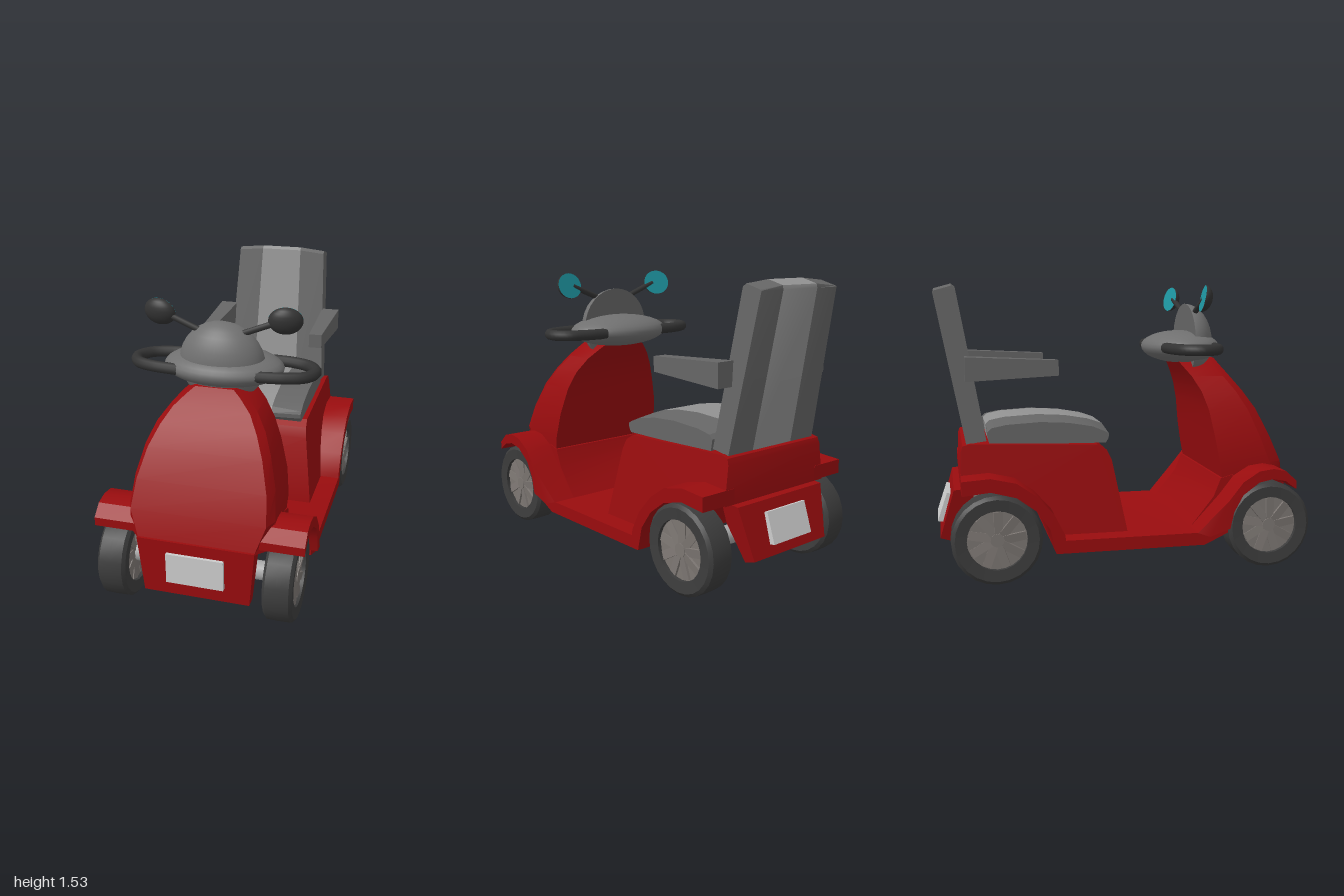
import * as THREE from 'three';
import { toCreasedNormals } from 'three/addons/utils/BufferGeometryUtils.js';

const mat = (color) => new THREE.MeshStandardMaterial({ color, side: THREE.DoubleSide });
const RED = mat(0x990c0e), RUBBER = mat(0x3c3c3c), HUB = mat(0x7c7672), STEEL = mat(0xa8a8a8), PLATE = mat(0xcccccc);
const SEAT = mat(0x666666), STRIPE = mat(0x929292), PLASTIC = mat(0x707070), BLACK = mat(0x333333), GLASS = mat(0x1f9aa6);

const lerp = THREE.MathUtils.lerp;

function add(parent, name, geometry, material) {
  const mesh = new THREE.Mesh(geometry, material);
  mesh.name = name;
  parent.add(mesh);
  return mesh;
}

// Moves every vertex by a rule
function warp(geometry, rule) {
  const p = geometry.attributes.position, v = new THREE.Vector3();
  for (let i = 0; i < p.count; i++) {
    rule(v.fromBufferAttribute(p, i));
    p.setXYZ(i, v.x, v.y, v.z);
  }
  geometry.computeVertexNormals();
  return geometry;
}

// Extrudes a [z, y] side profile across x, from x0 to x1
function slab(profile, x0, x1, rule) {
  const shape = new THREE.Shape(profile.map(([z, y]) => new THREE.Vector2(z, y)));
  const g = new THREE.ExtrudeGeometry(shape, { depth: x1 - x0, bevelEnabled: false });
  g.rotateY(-Math.PI / 2).translate(x1, 0, 0);
  if (rule) warp(g, rule);
  return toCreasedNormals(g, 0.45);
}

// Joins closed cross-section loops and caps both ends
function loft(loops) {
  const n = loops[0].length, pos = loops.flat(2), idx = [];
  for (let r = 0; r < loops.length - 1; r++) {
    for (let i = 0; i < n; i++) {
      const a = r * n + i, b = r * n + (i + 1) % n;
      idx.push(a, b, b + n, a, b + n, a + n);
    }
  }
  const last = (loops.length - 1) * n;
  for (let i = 1; i < n - 1; i++) idx.push(0, i + 1, i, last, last + i, last + i + 1);
  const g = new THREE.BufferGeometry();
  g.setAttribute('position', new THREE.Float32BufferAttribute(pos, 3));
  g.setIndex(idx);
  return toCreasedNormals(g, 0.4);
}

function wheel(x, z) {
  const group = new THREE.Group();
  group.name = 'wheel';
  const tyre = [[0.155, -0.07], [0.215, -0.075], [0.233, -0.06], [0.235, 0], [0.233, 0.06], [0.215, 0.075], [0.155, 0.07], [0.155, -0.07]];
  const g = new THREE.LatheGeometry(tyre.map(([r, y]) => new THREE.Vector2(r, y)), 24);
  add(group, 'tyre', toCreasedNormals(g.rotateZ(Math.PI / 2), 0.6), RUBBER);
  add(group, 'rim', new THREE.CylinderGeometry(0.156, 0.156, 0.1, 24).rotateZ(Math.PI / 2), HUB);
  // Slightly twisted blades radiate from the hub on both faces
  for (let i = 0; i < 9; i++) {
    const blade = new THREE.BoxGeometry(0.118, 0.125, 0.045).rotateY(0.12).translate(0, 0.085, 0);
    add(group, 'spoke', blade.rotateX(i * Math.PI * 2 / 9), HUB);
  }
  add(group, 'hubCap', new THREE.CylinderGeometry(0.035, 0.035, 0.128, 16).rotateZ(Math.PI / 2), HUB);
  group.position.set(x, 0.235, z);
  return group;
}

export function createModel() {
  const model = new THREE.Group();
  model.name = 'mobilityScooter';

  // Wheels and axles
  for (const z of [0.77, -0.7]) {
    for (const x of [-0.43, 0.43]) model.add(wheel(x, z));
    add(model, 'axle', new THREE.CylinderGeometry(0.05, 0.05, 0.76, 16).rotateZ(Math.PI / 2).translate(0, 0.235, z), STEEL);
  }

  // Floor with a ramp rising to the front shield
  add(model, 'floor', slab([[-0.4, 0.15], [0.4, 0.15], [0.53, 0.21], [0.53, 0.25], [0.4, 0.218], [-0.4, 0.218]], -0.51, 0.51), RED);
  add(model, 'footRamp', slab([[0.4, 0.17], [0.53, 0.24], [0.58, 0.4], [0.6, 0.5], [0.53, 0.48], [0.49, 0.38], [0.36, 0.218]], -0.38, 0.38), RED);

  // Mudguards, mirrored left and right
  const frontGuard = [[0.9, 0.44], [0.9, 0.485], [0.84, 0.54], [0.77, 0.555], [0.69, 0.545], [0.6, 0.49], [0.52, 0.39], [0.36, 0.218],
    [0.42, 0.2], [0.53, 0.24], [0.55, 0.33], [0.6, 0.42], [0.69, 0.485], [0.77, 0.5], [0.84, 0.485]];
  const rearGuard = [[-0.34, 0.15], [-0.355, 0.25], [-0.41, 0.36], [-0.5, 0.46], [-0.6, 0.53], [-0.73, 0.56], [-0.875, 0.55],
    [-0.875, 0.475], [-0.73, 0.49], [-0.6, 0.455], [-0.5, 0.38], [-0.43, 0.28], [-0.4, 0.15]];
  for (const s of [-1, 1]) {
    const side = (p, a, b, rule) => (s > 0 ? slab(p, a, b, rule) : slab(p, -b, -a, rule));
    add(model, 'frontMudguard', side(frontGuard, 0.3, 0.545, (v) => {
      if (Math.abs(v.x) > 0.5) v.x = s * lerp(0.51, 0.545, THREE.MathUtils.clamp((v.z - 0.35) / 0.09, 0, 1));
    }), RED);
    add(model, 'rearMudguard', side(rearGuard, 0.3, 0.51), RED);
  }

  // Seat housing, narrower towards the top
  const housing = [[0, 0.16], [0, 0.22], [-0.075, 0.6], [-0.1, 0.655], [-0.15, 0.687], [-0.82, 0.71], [-0.86, 0.7], [-0.87, 0.67],
    [-0.875, 0.47], [-0.73, 0.48], [-0.6, 0.45], [-0.5, 0.38], [-0.43, 0.28], [-0.4, 0.16]];
  add(model, 'seatHousing', slab(housing, -0.4, 0.4, (v) => { v.x *= lerp(1, 0.84, (v.y - 0.2) / 0.5); }), RED);

  // Rear bumper with plate
  add(model, 'rearBumper', slab([[-0.8, 0.475], [-0.91, 0.465], [-0.985, 0.2], [-0.92, 0.18], [-0.82, 0.36]], -0.31, 0.31,
    (v) => { v.x *= lerp(0.85, 1, (v.y - 0.18) / 0.28); }), RED);
  add(model, 'rearPlate', slab([[-0.925, 0.41], [-0.945, 0.415], [-0.997, 0.26], [-0.965, 0.255]], -0.14, 0.14), PLATE);

  // Front shield: [y, front z, rear z, front half width, side half width]
  const rings = [
    [0.42, 0.925, 0.55, 0.3, 0.37], [0.56, 0.885, 0.525, 0.35, 0.38], [0.7, 0.825, 0.5, 0.335, 0.365], [0.85, 0.755, 0.475, 0.295, 0.325],
    [0.95, 0.69, 0.445, 0.25, 0.282], [1.03, 0.63, 0.405, 0.2, 0.225], [1.09, 0.59, 0.365, 0.14, 0.16], [1.125, 0.57, 0.345, 0.1, 0.11]];
  add(model, 'frontShield', loft(rings.map(([y, f, r, a, b]) => {
    const mid = lerp(f, r, 0.2);
    return [[-a, y, f], [a, y, f], [b, y, mid], [b, y, r], [-b, y, r], [-b, y, mid]];
  })), RED);

  // Front bumper with plate
  add(model, 'frontBumper', slab([[0.84, 0.43], [0.935, 0.43], [0.925, 0.12], [0.86, 0.12]], -0.305, 0.305,
    (v) => { v.x *= lerp(0.91, 1, (v.y - 0.12) / 0.31); }), RED);
  add(model, 'frontPlate', new THREE.BoxGeometry(0.3, 0.165, 0.025).translate(0, 0.283, 0.937), PLATE);

  // Seat cushion and backrest in three bands
  const cushion = [[-0.07, 0.715], [-0.068, 0.74], [-0.09, 0.772], [-0.17, 0.8], [-0.3, 0.823], [-0.45, 0.832], [-0.63, 0.822],
    [-0.71, 0.806], [-0.73, 0.785], [-0.72, 0.7], [-0.1, 0.69]];
  const back = [[-0.735, 0.72], [-0.84, 0.705], [-0.99, 1.49], [-0.985, 1.51], [-0.895, 1.535], [-0.875, 1.52]];
  const bands = [[-0.31, -0.14, SEAT], [-0.14, 0.14, STRIPE], [0.14, 0.31, SEAT]];
  const cushionRule = (v) => {
    if (Math.abs(v.x) > 0.2) {
      if (v.y > 0.76) v.y -= 0.02;
      if (v.z > -0.095) v.z -= 0.015;
    }
  };
  const backRule = (v) => {
    if (Math.abs(v.x) > 0.2 && v.y > 1.505) v.y -= 0.015;
    v.x *= lerp(1, 0.87, (v.y - 0.72) / 0.8);
  };
  for (const [a, b, m] of bands) {
    add(model, 'seatCushion', slab(cushion, a, b, cushionRule), m);
    add(model, 'backrest', slab(back, a, b, backRule), m);
  }

  // Armrests
  for (const s of [-1, 1]) {
    const arm = new THREE.BoxGeometry(1, 1, 1);
    warp(arm, (v) => {
      const front = v.z > 0;
      v.set(s * (front ? 0.33 : 0.335) + v.x * (front ? 0.075 : 0.105), 1.1 + v.y * (front ? 0.08 : 0.125), front ? -0.36 : -0.84);
    });
    add(model, 'armrest', toCreasedNormals(arm, 0.3), SEAT);
  }

  // Control console with a half dome
  add(model, 'console', new THREE.SphereGeometry(1, 32, 16).scale(0.315, 0.092, 0.215).translate(0, 1.187, 0.397), PLASTIC);
  const dome = new THREE.Group();
  dome.name = 'consoleDome';
  add(dome, 'domeShell', new THREE.SphereGeometry(1, 24, 16, 0, Math.PI), PLASTIC);
  add(dome, 'domeFace', new THREE.CircleGeometry(1, 32).rotateY(Math.PI), SEAT);
  dome.scale.set(0.225, 0.215, 0.15);
  dome.position.set(0, 1.215, 0.425);
  model.add(dome);

  // Loop handles and rear-view mirrors
  for (const s of [-1, 1]) {
    const path = [[0.2, 0.26], [0.33, 0.27], [0.43, 0.31], [0.475, 0.39], [0.44, 0.47], [0.35, 0.51], [0.2, 0.53]];
    const curve = new THREE.CatmullRomCurve3(path.map(([x, z]) => new THREE.Vector3(s * x, 1.188, z)));
    add(model, 'handle', new THREE.TubeGeometry(curve, 32, 0.03, 10), BLACK);

    const stem = new THREE.LineCurve3(new THREE.Vector3(s * 0.1, 1.375, 0.45), new THREE.Vector3(s * 0.3, 1.455, 0.445));
    add(model, 'mirrorStem', new THREE.TubeGeometry(stem, 1, 0.016, 8), BLACK);
    const mirror = new THREE.Group();
    mirror.name = 'mirror';
    add(mirror, 'mirrorShell', new THREE.SphereGeometry(1, 20, 12, 0, Math.PI), BLACK);
    add(mirror, 'mirrorGlass', new THREE.CircleGeometry(1, 24).rotateY(Math.PI).translate(0, 0, -0.02), GLASS);
    mirror.scale.set(0.087, 0.072, 0.05);
    mirror.rotation.set(0.2, s * 0.15, 0);
    mirror.position.set(s * 0.325, 1.457, 0.43);
    model.add(mirror);
  }
  return model;
}
